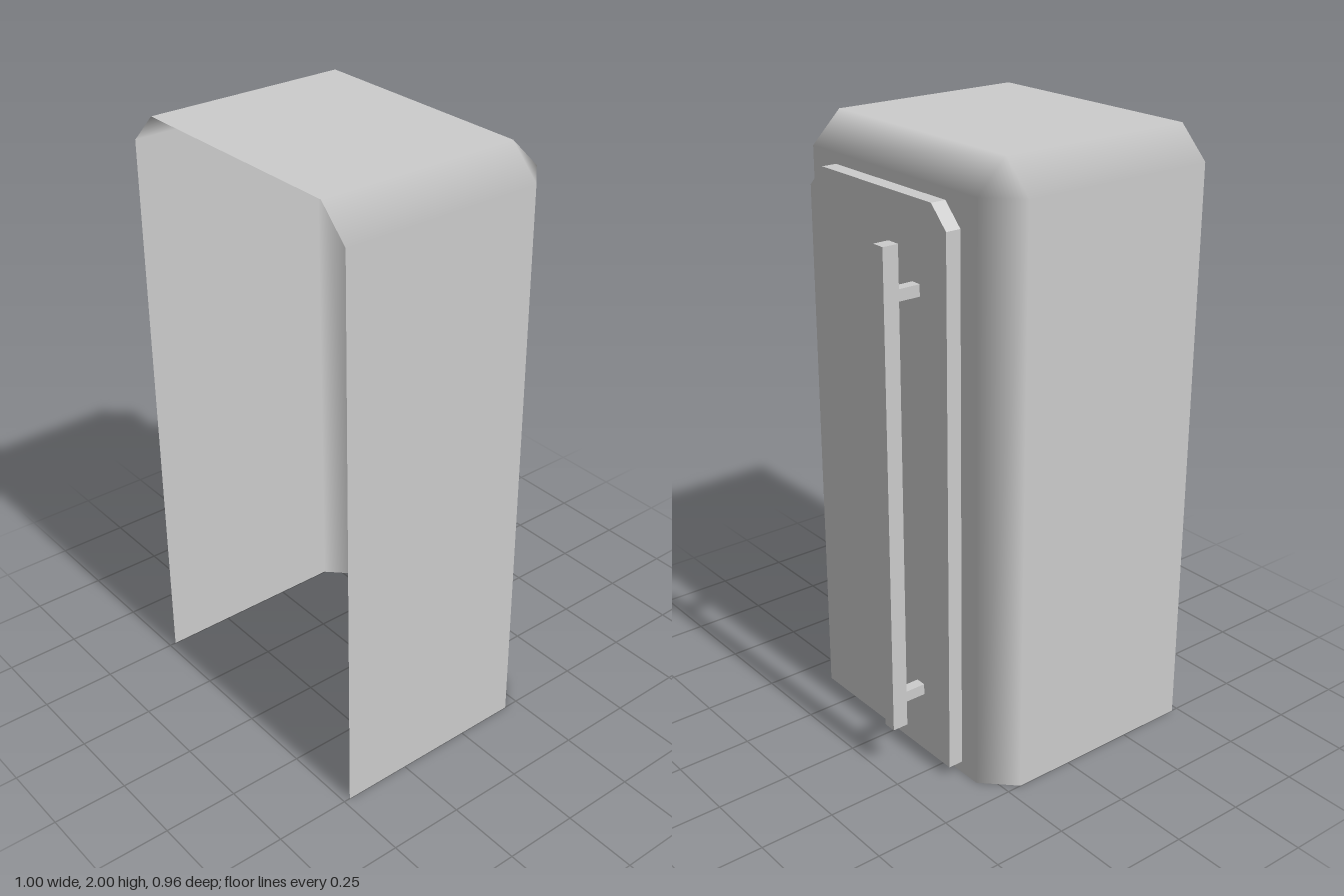
import * as THREE from 'three';

const material = new THREE.MeshStandardMaterial({ color: 0xcccccc, side: THREE.DoubleSide });
const BACK = [0, 0, -1], TOP = [0, 1, 0];

// Builds a mesh from convex polygons of [point, normal] corners, wound to agree with their normals
function surface(name, polygons) {
  const pos = [], nor = [];
  const v = (p) => new THREE.Vector3(...p);
  for (const poly of polygons) {
    const [a, b, c] = poly.map(([p]) => v(p));
    const face = b.sub(a).cross(c.sub(a));
    const sum = poly.reduce((s, [, n]) => s.add(v(n)), new THREE.Vector3());
    const ring = face.dot(sum) < 0 ? [...poly].reverse() : poly;
    for (let i = 1; i < ring.length - 1; i++) {
      for (const [p, n] of [ring[0], ring[i], ring[i + 1]]) {
        pos.push(...p);
        nor.push(...n);
      }
    }
  }
  const g = new THREE.BufferGeometry();
  g.setAttribute('position', new THREE.Float32BufferAttribute(pos, 3));
  g.setAttribute('normal', new THREE.Float32BufferAttribute(nor, 3));
  const mesh = new THREE.Mesh(g, material);
  mesh.name = name;
  return mesh;
}

// Flat panel facing -z; x is mirrored so the half turn puts it back
function backPanel(name, outline, z, hole) {
  const flip = (pts) => pts.map(([x, y]) => new THREE.Vector2(-x, y));
  const shape = new THREE.Shape(flip(outline));
  if (hole) shape.holes.push(new THREE.Path(flip(hole)));
  const mesh = new THREE.Mesh(new THREE.ShapeGeometry(shape).rotateY(Math.PI).translate(0, 0, z), material);
  mesh.name = name;
  return mesh;
}

function box(name, [x0, x1], [y0, y1], [z0, z1]) {
  const mesh = new THREE.Mesh(new THREE.BoxGeometry(x1 - x0, y1 - y0, z1 - z0), material);
  mesh.position.set((x0 + x1) / 2, (y0 + y1) / 2, (z0 + z1) / 2);
  mesh.name = name;
  return mesh;
}

export function createModel() {
  const model = new THREE.Group();
  model.name = 'cabinet';

  // Shell: open at the front and underneath, with softly shaded bevels
  const W = 0.5, w = 0.4, H = 2, h = 1.9, front = 0.478, zBack = -0.3, zIn = -0.2;
  const top = (x, z) => [[x, H, z], TOP];
  const back = (x, y) => [[x, y, zBack], BACK];
  const polygons = [
    [top(-w, zIn), top(w, zIn), top(w, front), top(-w, front)],
    [top(-w, zIn), top(w, zIn), back(w, h), back(-w, h)],
  ];
  for (const s of [-1, 1]) {
    const side = (y, z) => [[s * W, y, z], [s, 0, 0]];
    polygons.push(
      [side(0, front), side(0, zIn), side(h, zIn), side(h, front)],
      [side(0, zIn), back(s * w, 0), back(s * w, h), side(h, zIn)],
      [side(h, front), side(h, zIn), top(s * w, zIn), top(s * w, front)],
      [side(h, zIn), back(s * w, h), top(s * w, zIn)],
    );
  }
  model.add(surface('shell', polygons));

  // Back wall, cut out behind the raised door
  const doorOutline = [
    [-0.327, 0.04], [0.345, 0.04], [0.345, 1.797], [0.278, 1.865], [-0.26, 1.865], [-0.327, 1.797],
  ];
  model.add(backPanel('backWall', [[-w, 0], [w, 0], [w, h], [-w, h]], zBack, doorOutline));

  // Door: a raised panel with a rim, hollow on the inside
  const door = new THREE.Group();
  door.name = 'door';
  const zDoor = -0.35;
  door.add(backPanel('doorPanel', doorOutline, zDoor));
  door.add(surface('doorRim', doorOutline.map(([x0, y0], i) => {
    const [x1, y1] = doorOutline[(i + 1) % doorOutline.length];
    const len = Math.hypot(x1 - x0, y1 - y0);
    const n = [(y1 - y0) / len, (x0 - x1) / len, 0];
    return [[[x0, y0, zBack], n], [[x1, y1, zBack], n], [[x1, y1, zDoor], n], [[x0, y0, zDoor], n]];
  })));
  model.add(door);

  // Long handle on two posts
  const handle = new THREE.Group();
  handle.name = 'handle';
  handle.add(box('handleBar', [-0.206, -0.161], [0.17, 1.75], [-0.478, -0.425]));
  handle.add(box('upperPost', [-0.203, -0.168], [1.58, 1.617], [-0.425, -0.35]));
  handle.add(box('lowerPost', [-0.203, -0.168], [0.253, 0.29], [-0.425, -0.354]));
  model.add(handle);

  return model;
}
